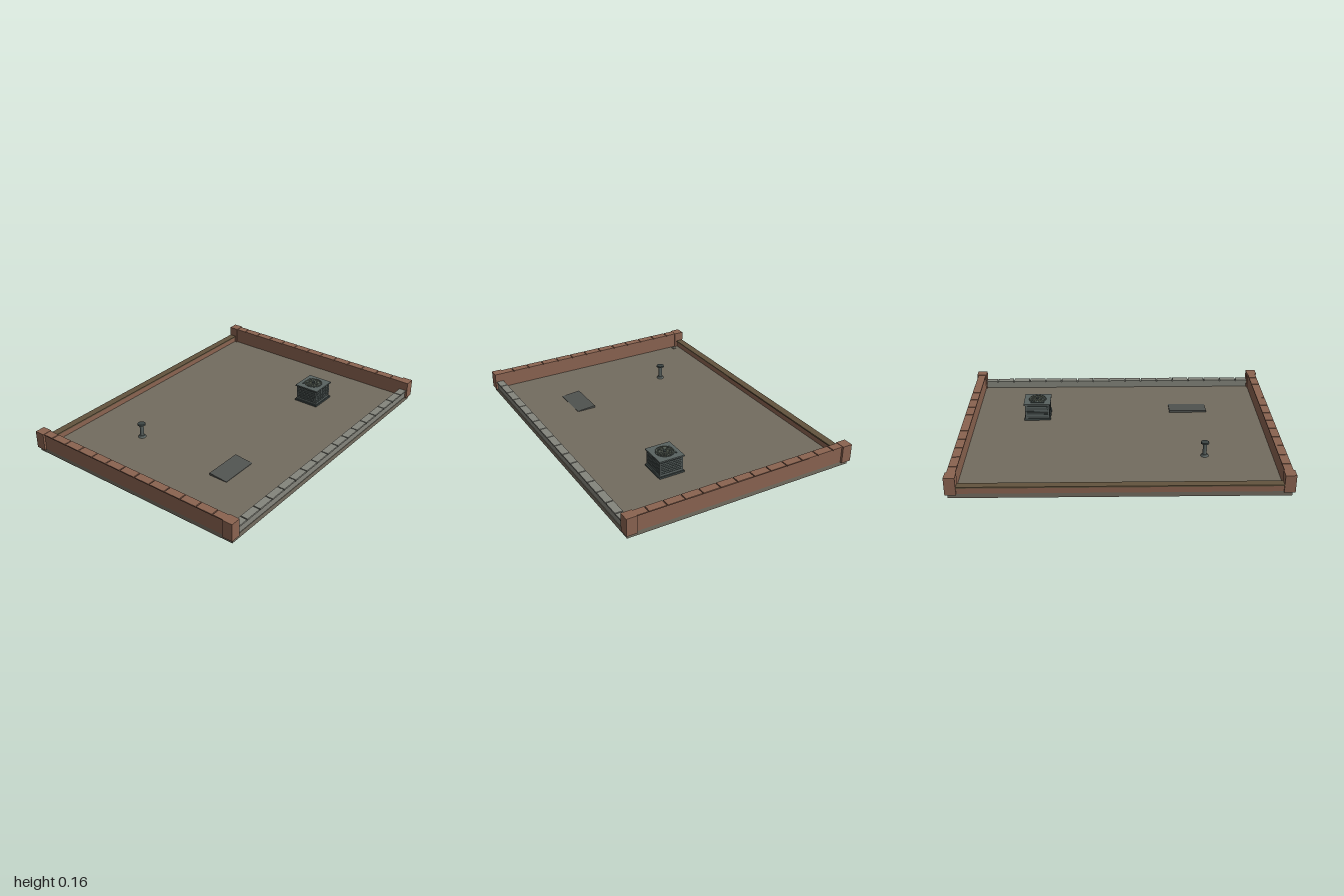
import * as THREE from 'three';

const mat = (color) => new THREE.MeshStandardMaterial({ color, side: THREE.DoubleSide });
const BRICK = mat(0x8a6350), DECK = mat(0x736c5f), STONE = mat(0x84857c), TRIM = mat(0x62533d);
const METAL = mat(0x596260), DARK = mat(0x3c4544), GLASS = mat(0x505350), MESH = mat(0x6f7768);

function add(parent, name, geometry, material, x = 0, y = 0, z = 0) {
  const mesh = new THREE.Mesh(geometry, material);
  mesh.name = name;
  mesh.position.set(x, y, z);
  parent.add(mesh);
  return mesh;
}

// Box given by its limits on each axis
function block(parent, name, material, [x0, x1], [y0, y1], [z0, z1]) {
  return add(parent, name, new THREE.BoxGeometry(x1 - x0, y1 - y0, z1 - z0), material,
    (x0 + x1) / 2, (y0 + y1) / 2, (z0 + z1) / 2);
}

function group(parent, name, x = 0, y = 0, z = 0) {
  const g = new THREE.Group();
  g.name = name;
  g.position.set(x, y, z);
  parent.add(g);
  return g;
}

// Calls place(start, end) for each coping stone in a row, trimmed at the corner posts
function stones(count, pitch, limit, place) {
  const gap = 0.003;
  for (let i = 0; i < count; i++) {
    const a = (i - count / 2) * pitch + gap, b = (i + 1 - count / 2) * pitch - gap;
    place(Math.max(a, -limit), Math.min(b, limit));
  }
}

// Air conditioning unit with louvred sides and a round fan grille
function buildAirUnit(parent, x, y, z) {
  const unit = group(parent, 'airUnit', x, y, z);
  block(unit, 'unitBase', DARK, [-0.087, 0.087], [0, 0.012], [-0.083, 0.083]);
  block(unit, 'unitBody', METAL, [-0.08, 0.08], [0.012, 0.11], [-0.076, 0.076]);
  block(unit, 'unitLid', METAL, [-0.088, 0.088], [0.108, 0.117], [-0.083, 0.083]);
  for (let i = 0; i < 7; i++) {
    const h = 0.025 + i * 0.012;
    block(unit, 'louvre', DARK, [-0.0825, 0.0825], [h, h + 0.004], [-0.066, 0.066]);
    block(unit, 'louvre', DARK, [-0.07, 0.07], [h, h + 0.004], [-0.0785, 0.0785]);
  }
  const fan = group(unit, 'fanGrille', 0, 0.117, 0);
  add(fan, 'fanWell', new THREE.CylinderGeometry(0.055, 0.058, 0.003, 28), DARK, 0, 0.001, 0);
  for (const r of [0.014, 0.025, 0.036, 0.047, 0.056]) {
    const ring = add(fan, 'grilleRing', new THREE.TorusGeometry(r, 0.0014, 5, 28), MESH, 0, 0.004, 0);
    ring.rotation.x = Math.PI / 2;
  }
  for (let i = 0; i < 8; i++) {
    const spoke = add(fan, 'grilleSpoke', new THREE.BoxGeometry(0.112, 0.002, 0.002), MESH, 0, 0.004, 0);
    spoke.rotation.y = (i * Math.PI) / 8;
  }
  add(fan, 'fanHub', new THREE.CylinderGeometry(0.01, 0.012, 0.008, 16), DARK, 0, 0.006, 0);
  block(fan, 'fanBracket', DARK, [-0.045, 0.045], [0, 0.004], [-0.058, -0.048]);
}

// Vent pipe with a foot flange and a rain cap
function buildVent(parent, x, y, z) {
  const vent = group(parent, 'ventPipe', x, y, z);
  add(vent, 'ventFlange', new THREE.CylinderGeometry(0.018, 0.025, 0.012, 20), METAL, 0, 0.006, 0);
  add(vent, 'ventTube', new THREE.CylinderGeometry(0.0125, 0.0125, 0.09, 20), METAL, 0, 0.045, 0);
  add(vent, 'ventCap', new THREE.CylinderGeometry(0.024, 0.026, 0.009, 20), DARK, 0, 0.091, 0);
}

// Low wedge-shaped roof window, raised along its back edge
function buildSkylight(parent) {
  const wedge = new THREE.Shape([[0.405, 0], [0.28, 0], [0.28, 0.014], [0.405, 0.003]]
    .map(([z, h]) => new THREE.Vector2(-z, h)));
  const geometry = new THREE.ExtrudeGeometry(wedge, { depth: 0.25, bevelEnabled: false });
  geometry.rotateY(Math.PI / 2);
  add(parent, 'skylight', geometry, GLASS, -0.6, 0.03, 0);
}

export function createModel() {
  const roof = new THREE.Group();
  roof.name = 'flatRoof';

  block(roof, 'roofSlab', DECK, [-0.985, 0.985], [0, 0.03], [-0.745, 0.745]);

  // Tall brick side walls, their coping and the corner posts
  for (const s of [-1, 1]) {
    const span = (a, b) => (s > 0 ? [a, b] : [-b, -a]);
    block(roof, 'sideWall', BRICK, span(0.943, 0.987), [0.028, 0.127], [-0.7, 0.7]);
    stones(13, 0.1122, 0.695, (a, b) =>
      block(roof, 'sideCoping', BRICK, span(0.94, 0.992), [0.127, 0.134], [a, b]));
    for (const z of [-0.7225, 0.7225])
      block(roof, 'cornerPost', BRICK, span(0.935, 1), [0.025, 0.136], [z - 0.0325, z + 0.0325]);
  }

  // Low front parapet with stone coping
  block(roof, 'frontParapet', STONE, [-0.94, 0.94], [0.029, 0.071], [0.705, 0.742]);
  stones(17, 0.1143, 0.937, (a, b) =>
    block(roof, 'frontCoping', STONE, [a, b], [0.071, 0.081], [0.7, 0.747]));

  // Low back parapet with a continuous cap
  block(roof, 'backParapet', BRICK, [-0.94, 0.94], [0.029, 0.066], [-0.746, -0.71]);
  block(roof, 'backCap', TRIM, [-0.937, 0.937], [0.066, 0.075], [-0.752, -0.704]);

  buildAirUnit(roof, 0.537, 0.03, 0.258);
  buildVent(roof, -0.525, 0.03, -0.323);
  buildSkylight(roof);

  // Slotted drain in the back corner
  const drain = group(roof, 'drain', -0.918, 0.03, -0.67);
  add(drain, 'drainPlate', new THREE.CylinderGeometry(0.017, 0.018, 0.003, 20), DECK, 0, 0.0015, 0);
  for (const z of [-0.007, 0, 0.007])
    block(drain, 'drainSlot', DARK, [-0.013, 0.013], [0.002, 0.004], [z - 0.0015, z + 0.0015]);

  return roof;
}
